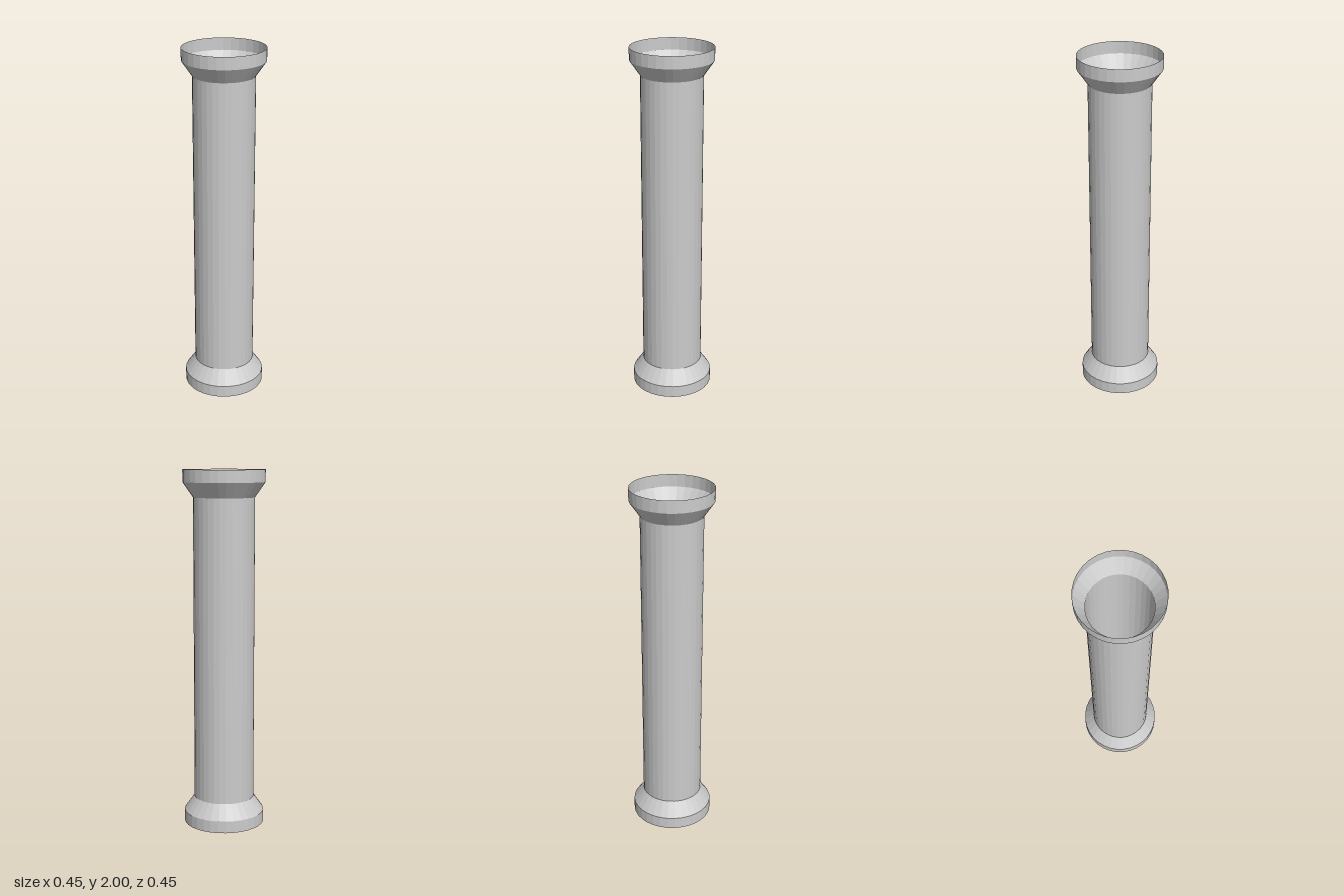
import * as THREE from 'three';

const SIDES = 32;
const R_WIDE = 0.227, R_SHAFT = 0.17;
const BAND = 0.068, FLARE = 0.15, HEIGHT = 2;

const material = new THREE.MeshStandardMaterial({
  color: 0xcccccc, flatShading: true, side: THREE.DoubleSide,
});

// Thin turned wall from [radius, height] points, bottom to top
function turned(name, points) {
  const profile = points.map(([r, y]) => new THREE.Vector2(r, y));
  const mesh = new THREE.Mesh(new THREE.LatheGeometry(profile, SIDES), material);
  mesh.name = name;
  return mesh;
}

export function createModel() {
  const column = new THREE.Group();
  column.name = 'column';
  column.add(
    // Closed foot: disc, straight band, then taper in to the shaft
    turned('base', [[0, 0], [R_WIDE, 0], [R_WIDE, BAND], [R_SHAFT, FLARE]]),
    // Hollow shaft
    turned('shaft', [[R_SHAFT, FLARE], [R_SHAFT, HEIGHT - FLARE]]),
    // Open capital: flare out, then straight rim
    turned('capital', [[R_SHAFT, HEIGHT - FLARE], [R_WIDE, HEIGHT - BAND], [R_WIDE, HEIGHT]]),
  );
  return column;
}
